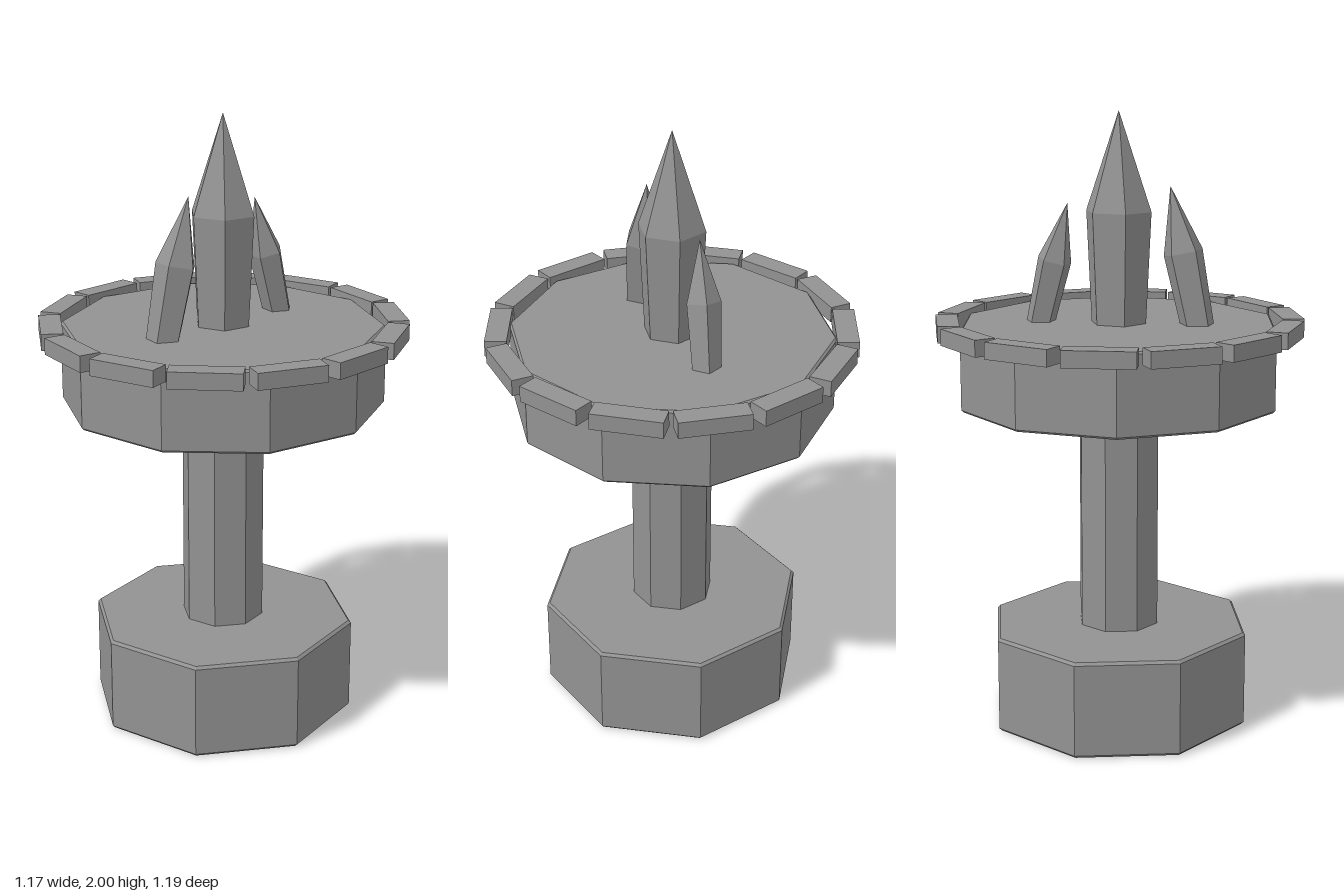
import * as THREE from 'three';

const stone = new THREE.MeshStandardMaterial({ color: 0x929292, flatShading: true });
stone.name = 'grey stone';

// Faceted solid of revolution with one corner on the +x axis
function faceted(name, profile, sides) {
  const points = profile.map(([r, y]) => new THREE.Vector2(r, y));
  const geometry = new THREE.LatheGeometry(points, sides, Math.PI / 2).toNonIndexed();
  geometry.computeVertexNormals();
  const mesh = new THREE.Mesh(geometry, stone);
  mesh.name = name;
  return mesh;
}

// Prism with chamfered rims
function slab(name, radius, bottom, top, sides, bevel) {
  return faceted(name, [
    [0, bottom], [radius - bevel, bottom], [radius, bottom + bevel],
    [radius, top - bevel], [radius - bevel, top], [0, top],
  ], sides);
}

// Crystal that widens to a shoulder, then narrows to a point
function crystal(name, radius, length, sides, x, z, lean) {
  const mesh = faceted(name, [
    [0, 0], [radius, 0], [radius * 1.2, length * 0.55], [0, length],
  ], sides);
  mesh.position.set(x, 1.3, z);
  mesh.rotation.z = lean;
  return mesh;
}

export function createModel() {
  const model = new THREE.Group();
  model.name = 'crystalPedestal';

  // Pedestal
  model.add(slab('base', 0.437, 0, 0.32, 8, 0.009));
  model.add(faceted('column', [[0, 0.3], [0.135, 0.3], [0.135, 1.09], [0, 1.09]], 8));
  model.add(slab('platform', 0.522, 1.065, 1.328, 10, 0.007));

  // Ring of rim blocks
  const ring = new THREE.Group();
  ring.name = 'rimBlocks';
  const block = new THREE.BoxGeometry(0.07, 0.053, 0.224);
  for (let i = 0; i < 14; i++) {
    const angle = (i / 14) * Math.PI * 2;
    const mesh = new THREE.Mesh(block, stone);
    mesh.name = 'rimBlock';
    mesh.position.set(Math.cos(angle) * 0.549, 1.319, Math.sin(angle) * 0.549);
    mesh.rotation.y = -angle;
    ring.add(mesh);
  }
  model.add(ring);

  // Crystals
  model.add(crystal('centreCrystal', 0.091, 0.7, 6, 0, 0, 0));
  model.add(crystal('rightCrystal', 0.055, 0.475, 5, -0.255, 0.046, -0.208));
  model.add(crystal('leftCrystal', 0.047, 0.422, 5, 0.255, -0.05, 0.239));

  return model;
}
